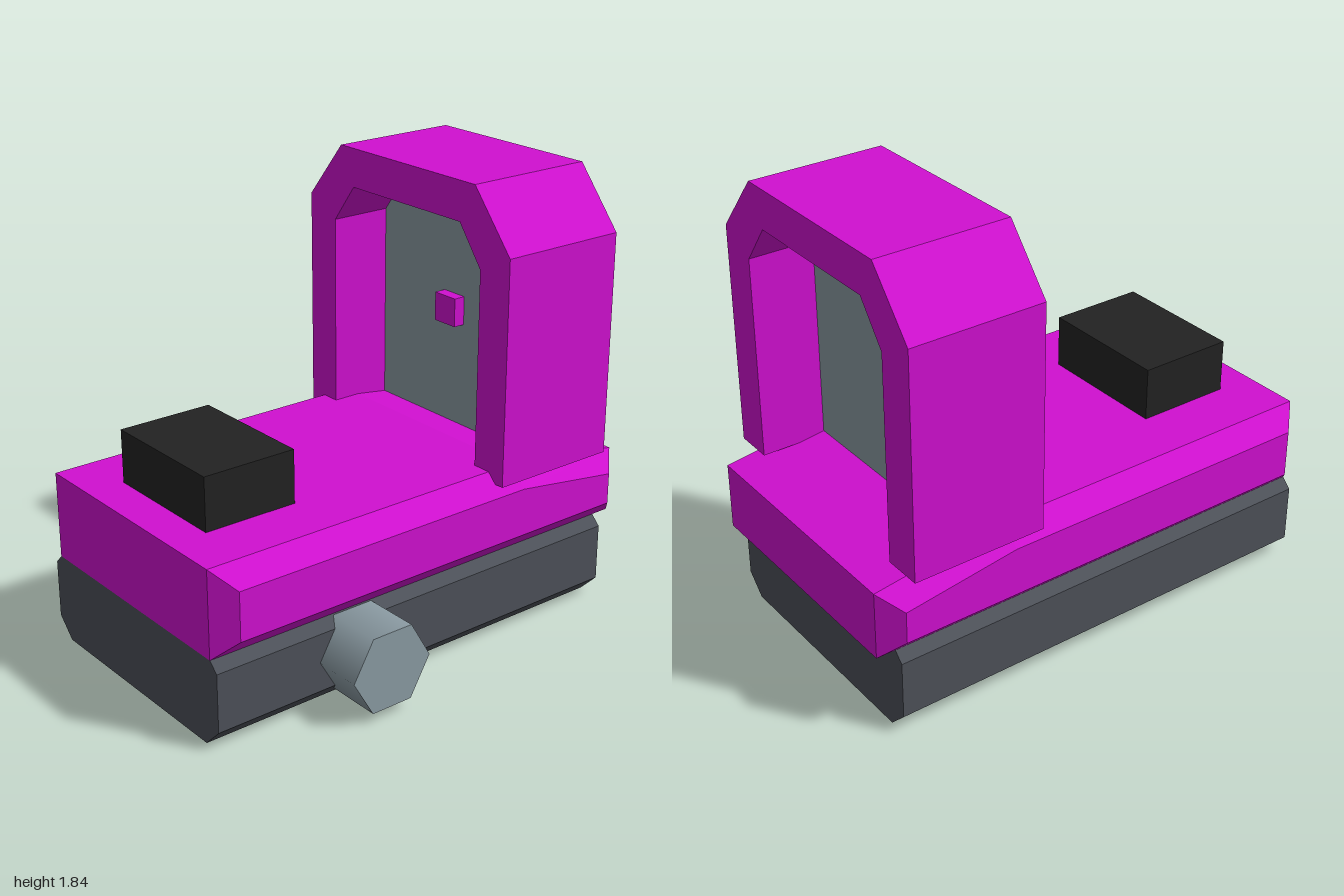
import * as THREE from 'three';
import { ConvexGeometry } from 'three/addons/geometries/ConvexGeometry.js';

const CX = -0.08; // the symmetric parts are centred here; the knob sticks out to +x

function material(name, color) {
  const m = new THREE.MeshStandardMaterial({ color });
  m.name = name;
  return m;
}

// Extrude half an outline, mirrored about x = 0, between two z positions
function mirroredPrism(half, z0, z1) {
  const pts = [
    ...half.map(([x, y]) => new THREE.Vector2(x, y)),
    ...[...half].reverse().map(([x, y]) => new THREE.Vector2(-x, y)),
  ];
  const geo = new THREE.ExtrudeGeometry(new THREE.Shape(pts), { depth: z1 - z0, bevelEnabled: false });
  return geo.translate(CX, 0, z0);
}

export function createModel() {
  const magenta = material('magenta', 0xd010d0);
  const darkGrey = material('darkGrey', 0x4d5159);
  const steel = material('steel', 0x8b9ba3);
  const black = material('black', 0x222222);

  const model = new THREE.Group();
  const add = (name, geo, mat) => {
    const mesh = new THREE.Mesh(geo, mat);
    mesh.name = name;
    model.add(mesh);
    return mesh;
  };
  const box = (name, mat, [x0, x1], [y0, y1], [z0, z1]) =>
    add(name, new THREE.BoxGeometry(x1 - x0, y1 - y0, z1 - z0), mat)
      .position.set((x0 + x1) / 2, (y0 + y1) / 2, (z0 + z1) / 2);

  // Base with chamfered long edges
  add('base', mirroredPrism([[0.48, 0], [0.56, 0.08], [0.56, 0.32], [0.48, 0.4]], -0.92, 0.999), darkGrey);

  // Deck: side profile [z, y] sloping down at the back, bevelled towards both sides
  const full = [[1, 0.36], [1, 0.72], [-0.44, 0.72], [-1, 0.64], [-1, 0.36]];
  const inset = [[0.92, 0.44], [0.92, 0.64], [-0.44, 0.64], [-0.92, 0.5714], [-0.92, 0.44]];
  const corners = [];
  for (const side of [-1, 1]) {
    for (const [z, y] of full) corners.push(new THREE.Vector3(CX + side * 0.52, y, z));
    for (const [z, y] of inset) corners.push(new THREE.Vector3(CX + side * 0.6, y, z));
  }
  add('deck', new ConvexGeometry(corners), magenta);

  // Arch with clipped corners, open at the bottom
  add('arch', mirroredPrism([
    [0.4, 1.84], [0.6, 1.6], [0.6, 0.68], [0.44, 0.68], [0.44, 1.52], [0.32, 1.68],
  ].reverse(), -0.88, -0.32), magenta);

  // Panel halfway through the arch, with a small button on its front
  add('panel', mirroredPrism([[0.44, 0.66], [0.44, 1.52], [0.335, 1.66]], -0.61, -0.59), steel);
  box('button', magenta, [-0.14, -0.02], [1.14, 1.26], [-0.6, -0.54]);

  // Block on the front of the deck
  box('frontBlock', black, [-0.36, 0.2], [0.71, 0.94], [0.44, 0.84]);

  // Six-sided knob on the left side
  const knob = add('knob', new THREE.CylinderGeometry(0.18, 0.18, 0.24, 6), steel);
  knob.rotation.z = -Math.PI / 2;
  knob.position.set(0.56, 0.2, 0.36);

  return model;
}
